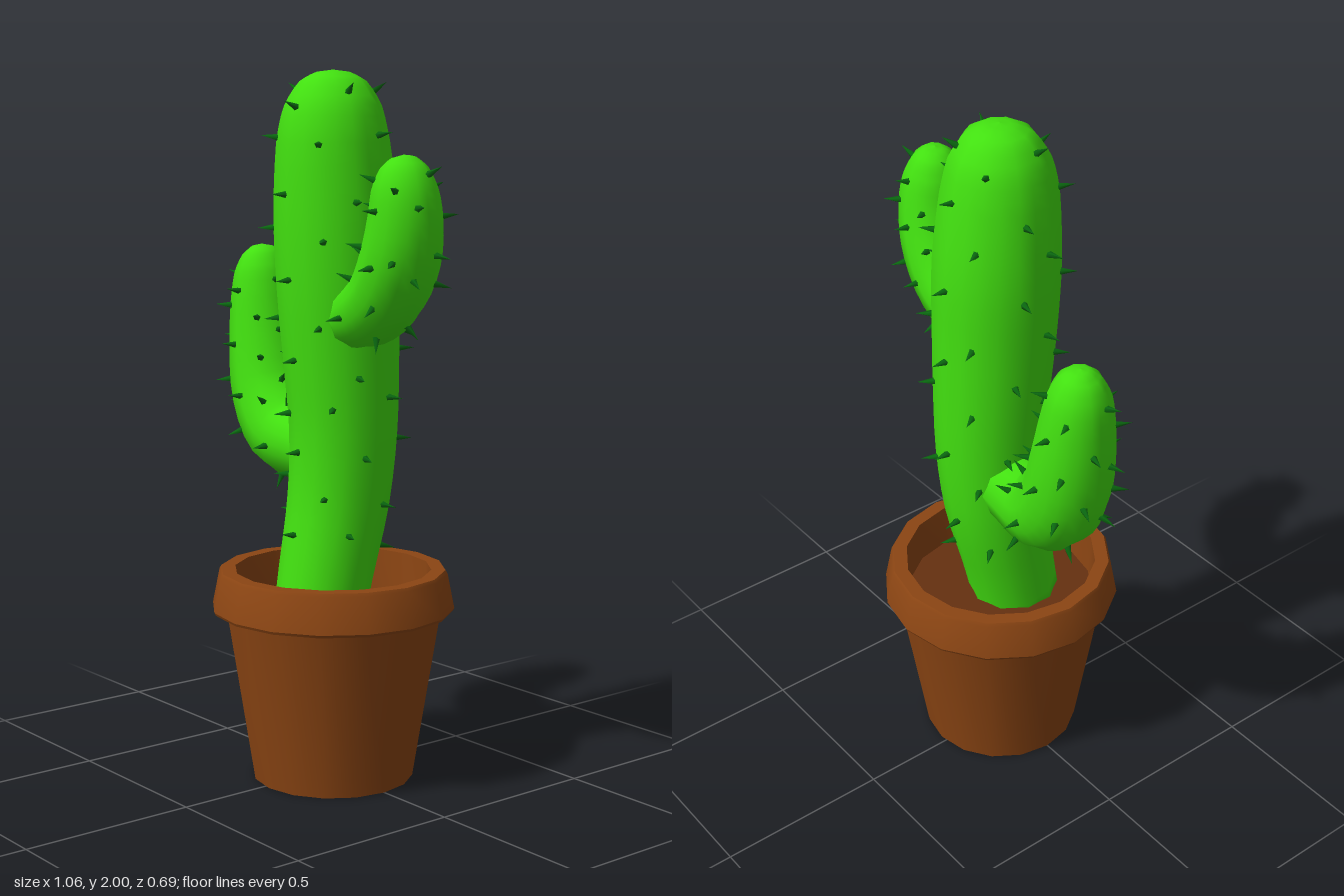
import * as THREE from 'three';
import { mergeGeometries, toCreasedNormals } from 'three/addons/utils/BufferGeometryUtils.js';

const RIBS = 10;
const SIDES = RIBS * 2;
const VALLEY = 0.94;

const material = (color) => new THREE.MeshStandardMaterial({ color });

function seeded(seed) {
  return () => {
    seed = (seed * 16807) % 2147483647;
    return seed / 2147483647;
  };
}

// Surface of a ribbed limb swept through stations [x, y, z, radius]
function limbSurface(stations) {
  const path = new THREE.CatmullRomCurve3(stations.map(([x, y, z]) => new THREE.Vector3(x, y, z)));
  const radii = new THREE.SplineCurve(stations.map((s, i) => new THREE.Vector2(i, s[3])));
  const frame = (t) => {
    const tangent = path.getTangent(t);
    const n = new THREE.Vector3(0, 0, 1).addScaledVector(tangent, -tangent.z).normalize();
    return { n, b: tangent.clone().cross(n) };
  };
  const point = (t, angle, scale = 1) => {
    const { n, b } = frame(t);
    const r = Math.max(0, radii.getPoint(t).y) * scale;
    return path.getPoint(t).addScaledVector(n, r * Math.cos(angle)).addScaledVector(b, r * Math.sin(angle));
  };
  const normal = (t, angle) => {
    const { n, b } = frame(t);
    const around = n.multiplyScalar(-Math.sin(angle)).addScaledVector(b, Math.cos(angle));
    const along = point(Math.min(1, t + 0.01), angle).sub(point(Math.max(0, t - 0.01), angle));
    return around.cross(along).normalize();
  };
  return { path, point, normal };
}

// Skin with alternating ridges and valleys
function limbGeometry(surface, rings) {
  const pos = [];
  const index = [];
  for (let i = 0; i <= rings; i++) {
    for (let j = 0; j < SIDES; j++) {
      pos.push(...surface.point(i / rings, (j / SIDES) * Math.PI * 2, j % 2 ? VALLEY : 1).toArray());
    }
  }
  pos.push(...surface.path.getPoint(0).toArray());
  const start = (rings + 1) * SIDES;
  for (let j = 0; j < SIDES; j++) {
    const k = (j + 1) % SIDES;
    index.push(start, k, j);
    for (let i = 0; i < rings; i++) {
      const a = i * SIDES + j, b = i * SIDES + k;
      index.push(a, b, a + SIDES, b, b + SIDES, a + SIDES);
    }
  }
  const geo = new THREE.BufferGeometry();
  geo.setAttribute('position', new THREE.Float32BufferAttribute(pos, 3));
  geo.setIndex(index);
  geo.computeVertexNormals();
  return geo;
}

// Small cones standing on the ridges, staggered from rib to rib
function spineGeometry(surface, from, spacing, seed) {
  const random = seeded(seed);
  const length = surface.path.getLength();
  const up = new THREE.Vector3(0, 1, 0);
  const cones = [];
  for (let rib = 0; rib < RIBS; rib++) {
    const angle = (rib / RIBS) * Math.PI * 2;
    for (let d = from + (rib % 2) * spacing * 0.5; d < length - 0.03; d += spacing) {
      const u = Math.min(0.985, (d + (random() - 0.5) * 0.06) / length);
      const t = surface.path.getUtoTmapping(u);
      const a = angle + (random() - 0.5) * 0.2;
      const dir = surface.normal(t, a);
      const cone = new THREE.ConeGeometry(0.011, 0.05, 5);
      cone.translate(0, 0.018, 0);
      cone.applyQuaternion(new THREE.Quaternion().setFromUnitVectors(up, dir));
      const p = surface.point(t, a);
      cone.translate(p.x, p.y, p.z);
      cones.push(cone);
    }
  }
  return mergeGeometries(cones);
}

const limbs = [
  {
    name: 'trunk', from: 0.27, spacing: 0.24, seed: 11,
    stations: [
      [0.015, 0.45, 0.05, 0.13], [0.015, 0.6, 0.02, 0.135], [0.02, 0.8, -0.02, 0.145],
      [0.027, 1.0, -0.032, 0.153], [0.026, 1.2, -0.025, 0.163], [0.024, 1.4, -0.015, 0.171],
      [0.02, 1.6, -0.01, 0.173], [0.02, 1.8, 0, 0.157], [0.02, 1.9, 0, 0.134],
      [0.02, 1.965, 0, 0.092], [0.02, 1.99, 0, 0.045], [0.02, 1.996, 0, 0],
    ],
  },
  {
    name: 'rightArm', from: 0.2, spacing: 0.17, seed: 23,
    stations: [
      [-0.02, 0.93, -0.03, 0.1], [-0.12, 0.935, -0.035, 0.108], [-0.25, 0.96, -0.05, 0.122],
      [-0.34, 1.06, -0.065, 0.123], [-0.38, 1.2, -0.073, 0.115], [-0.398, 1.34, -0.075, 0.1],
      [-0.403, 1.42, -0.075, 0.085], [-0.406, 1.47, -0.075, 0.06], [-0.408, 1.494, -0.075, 0.03],
      [-0.408, 1.5, -0.075, 0],
    ],
  },
  {
    name: 'leftArm', from: 0.13, spacing: 0.16, seed: 37,
    stations: [
      [0.11, 1.315, 0.025, 0.075], [0.2, 1.343, 0.03, 0.096], [0.3, 1.405, 0.04, 0.106],
      [0.363, 1.5, 0.05, 0.108], [0.388, 1.6, 0.056, 0.1], [0.39, 1.68, 0.06, 0.088],
      [0.387, 1.735, 0.06, 0.064], [0.385, 1.763, 0.06, 0.032], [0.384, 1.77, 0.06, 0],
    ],
  },
];

function lathe(profile, color, name) {
  const geo = new THREE.LatheGeometry(profile.map(([r, y]) => new THREE.Vector2(r, y)), 16);
  const mesh = new THREE.Mesh(toCreasedNormals(geo, 0.6), material(color));
  mesh.name = name;
  mesh.position.x = 0.02;
  return mesh;
}

export function createModel() {
  const model = new THREE.Group();
  model.name = 'pottedCactus';

  // Pot with flared wall and overhanging rim
  model.add(lathe([
    [0, 0], [0.23, 0], [0.308, 0.487], [0.342, 0.487], [0.346, 0.495],
    [0.326, 0.595], [0.32, 0.604], [0.28, 0.604], [0.272, 0.46],
  ], 0x8b4513, 'pot'));
  model.add(lathe([[0.275, 0.48], [0, 0.48]], 0x653010, 'soil'));

  // Trunk and arms, each with its spines
  const green = material(0x42e010);
  const dark = material(0x0a6a10);
  for (const { name, stations, from, spacing, seed } of limbs) {
    const surface = limbSurface(stations);
    const limb = new THREE.Group();
    limb.name = name;
    const skin = new THREE.Mesh(limbGeometry(surface, (stations.length - 1) * 3), green);
    skin.name = name + 'Skin';
    const spines = new THREE.Mesh(spineGeometry(surface, from, spacing, seed), dark);
    spines.name = name + 'Spines';
    limb.add(skin, spines);
    model.add(limb);
  }
  return model;
}
